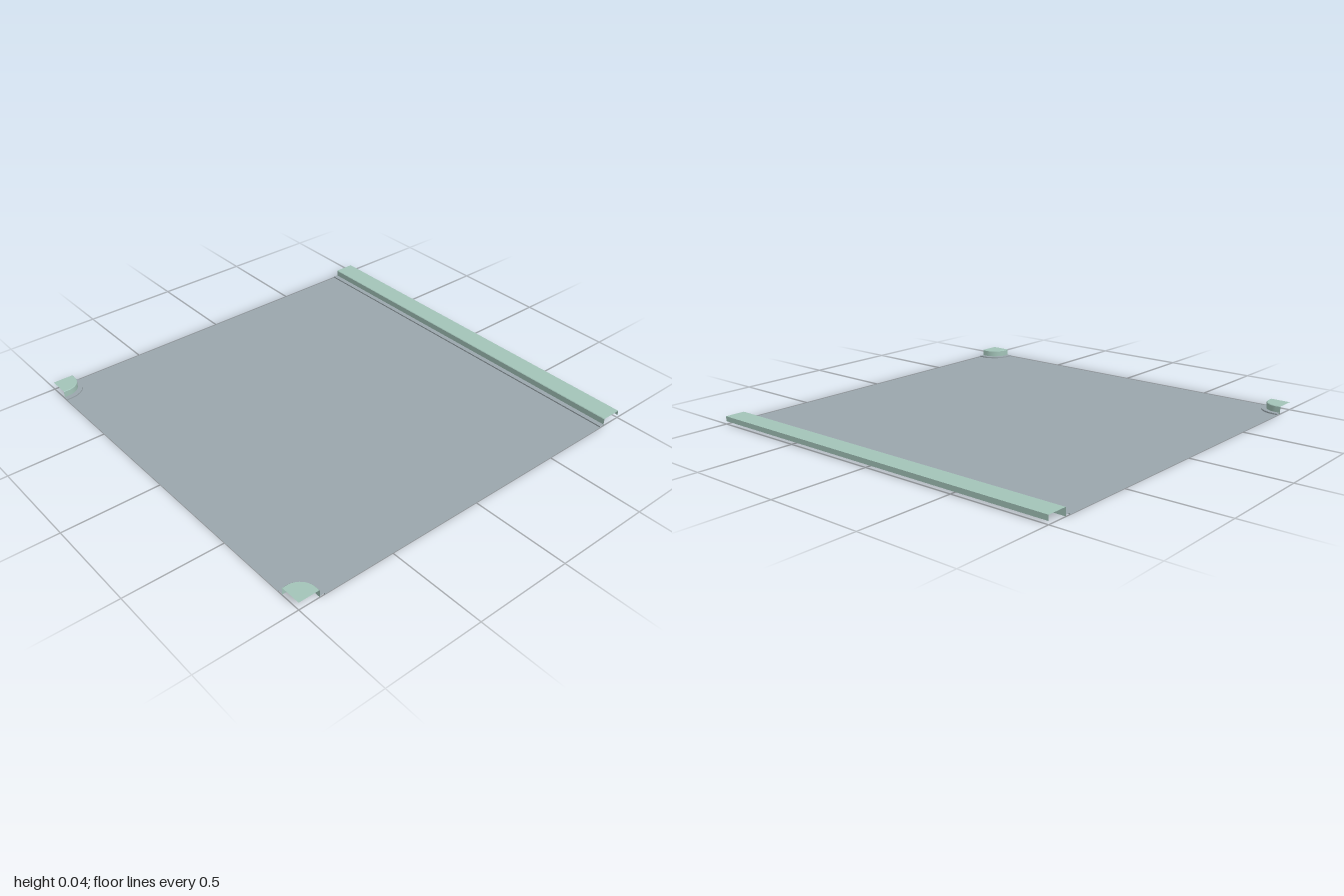
import * as THREE from 'three';

const LEDGE = 0.132; // distance from the tile border to the floor

// Path of the back kerb at distance d from the border: [x, z] points
const backPath = (d) => [[-1, -1 + d], [1, -1 + d]];

// Rounded path round a front corner; side is -1 or 1 in x
function cornerPath(side, d) {
  const c = Math.min(d, 0.025);
  const r = d - c;
  const pts = [[d, 0]];
  for (let i = 0; i <= 12; i++) {
    const a = (i / 12) * Math.PI / 2;
    pts.push([c + r * Math.cos(a), c + r * Math.sin(a)]);
  }
  pts.push([0, d]);
  const path = pts.map(([u, v]) => [side * (1 - u), 1 - v]);
  return side < 0 ? path : path.reverse();
}

// Strip of faces between two profile points [distance, height]
function strip(path, p, q) {
  const a = path(p[0]);
  const b = path(q[0]);
  const pos = [];
  const index = [];
  a.forEach(([x, z], i) => pos.push(x, p[1], z, b[i][0], q[1], b[i][1]));
  for (let i = 0; i < a.length - 1; i++) {
    const k = 2 * i;
    index.push(k, k + 1, k + 2, k + 2, k + 1, k + 3);
  }
  const g = new THREE.BufferGeometry();
  g.setAttribute('position', new THREE.Float32BufferAttribute(pos, 3));
  g.setIndex(index);
  g.computeVertexNormals();
  return g;
}

export function createModel() {
  const group = new THREE.Group();
  const kerbMat = new THREE.MeshStandardMaterial({ color: 0xa3c4b9, side: THREE.DoubleSide });
  kerbMat.name = 'pale green kerb';
  const roadMat = new THREE.MeshStandardMaterial({ color: 0x9ba7ad, side: THREE.DoubleSide });
  roadMat.name = 'grey road';

  const add = (parent, name, geometry, material) => {
    const mesh = new THREE.Mesh(geometry, material);
    mesh.name = name;
    parent.add(mesh);
  };

  // Kerb with top, small bevel, wall and low gutter ledge
  function kerb(name, path, lip) {
    const part = new THREE.Group();
    part.name = name;
    if (lip) add(part, 'outerLip', strip(path, [0, 0.015], [0, 0.04]), kerbMat);
    add(part, 'kerbTop', strip(path, [0, 0.04], [0.104, 0.04]), kerbMat);
    add(part, 'kerbBevel', strip(path, [0.104, 0.04], [0.107, 0.037]), kerbMat);
    add(part, 'kerbWall', strip(path, [0.107, 0.037], [0.107, 0]), kerbMat);
    add(part, 'gutterLedge', strip(path, [0.107, 0.007], [LEDGE, 0.007]), roadMat);
    add(part, 'gutterRiser', strip(path, [LEDGE, 0.007], [LEDGE, 0]), roadMat);
    group.add(part);
  }
  kerb('backKerb', backPath, true);
  kerb('rightCornerKerb', (d) => cornerPath(-1, d), false);
  kerb('leftCornerKerb', (d) => cornerPath(1, d), false);

  // Flat road surface, cut out round both corner kerbs
  const outline = [
    [1, -1 + LEDGE], [-1, -1 + LEDGE],
    ...cornerPath(-1, LEDGE).reverse(),
    ...cornerPath(1, LEDGE).reverse(),
  ].map(([x, z]) => new THREE.Vector2(x, -z));
  const road = new THREE.ShapeGeometry(new THREE.Shape(outline));
  road.rotateX(-Math.PI / 2);
  add(group, 'roadSurface', road, roadMat);

  return group;
}
